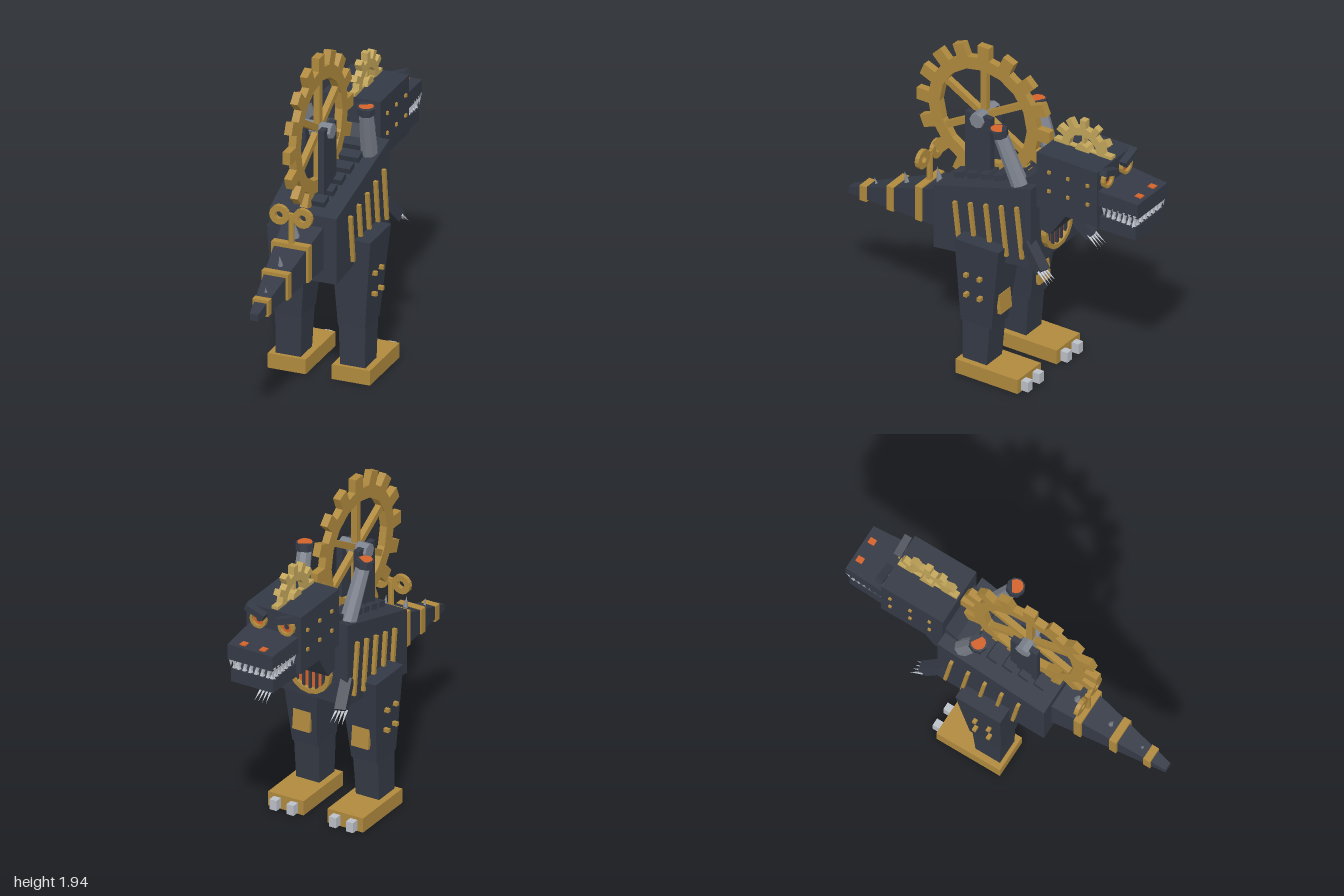
import * as THREE from 'three';
import { ConvexGeometry } from 'three/addons/geometries/ConvexGeometry.js';

const V = (x, y, z) => new THREE.Vector3(x, y, z);

function material(name, color) {
  const m = new THREE.MeshStandardMaterial({ color });
  m.name = name;
  return m;
}

export function createModel() {
  const iron = material('dark iron', 0x343a46);
  const brass = material('brass', 0xb08a3e);
  const paleBrass = material('pale brass', 0xc2a55a);
  const steel = material('steel', 0x7d838e);
  const claw = material('claw grey', 0xbcc0c8);
  const ember = material('ember orange', 0xd4622a);
  const model = new THREE.Group();
  model.name = 'clockworkBeast';

  function add(name, geo, mat, pos = [0, 0, 0], rot = [0, 0, 0]) {
    const mesh = new THREE.Mesh(geo, mat);
    mesh.name = name;
    mesh.position.set(...pos);
    mesh.rotation.set(...rot);
    model.add(mesh);
    return mesh;
  }
  const box = (name, mat, size, pos, rot) => add(name, new THREE.BoxGeometry(...size), mat, pos, rot);

  // Solid between rectangles [z, halfWidth, y0, y1]
  function taperZ(name, mat, ...ends) {
    const pts = ends.flatMap(([z, w, y0, y1]) => [V(-w, y0, z), V(w, y0, z), V(-w, y1, z), V(w, y1, z)]);
    return add(name, new ConvexGeometry(pts), mat);
  }
  // Solid between rectangles [y, x0, x1, z0, z1], mirrored by s
  function taperY(name, mat, s, ...ends) {
    const pts = ends.flatMap(([y, x0, x1, z0, z1]) =>
      [V(s * x0, y, z0), V(s * x1, y, z0), V(s * x0, y, z1), V(s * x1, y, z1)]);
    return add(name, new ConvexGeometry(pts), mat);
  }
  // Faceted rod or cone from p to q
  function rod(name, mat, p, q, r0, r1, sides) {
    const d = q.clone().sub(p);
    const geo = new THREE.CylinderGeometry(r1, r0, d.length(), sides).toNonIndexed();
    geo.computeVertexNormals();
    const mesh = add(name, geo, mat);
    mesh.position.copy(p).addScaledVector(d, 0.5);
    mesh.quaternion.setFromUnitVectors(V(0, 1, 0), d.normalize());
    return mesh;
  }
  // Flat ring, facing z
  function ringGeo(outer, inner, depth, sides) {
    const circle = (r) => Array.from({ length: sides }, (_, i) => {
      const a = (i / sides) * Math.PI * 2;
      return new THREE.Vector2(r * Math.cos(a), r * Math.sin(a));
    });
    const shape = new THREE.Shape(circle(outer));
    shape.holes.push(new THREE.Path(circle(inner)));
    return new THREE.ExtrudeGeometry(shape, { depth, bevelEnabled: false }).translate(0, 0, -depth / 2);
  }
  // Toothed wheel with spokes, turning about x
  function gear(name, mat, y, z, tip, root, inner, teeth, toothW, spokes, thick) {
    const pts = [];
    for (let i = 0; i < teeth; i++) {
      const a = (i / teeth) * Math.PI * 2, c = Math.cos(a), s = Math.sin(a), h = toothW / 2;
      for (const [r, t] of [[root, -h], [tip, -h], [tip, h], [root, h]])
        pts.push(new THREE.Vector2(r * c - t * s, r * s + t * c));
    }
    const shape = new THREE.Shape(pts);
    shape.holes.push(new THREE.Path(Array.from({ length: teeth }, (_, i) => {
      const a = (i / teeth) * Math.PI * 2;
      return new THREE.Vector2(inner * Math.cos(a), inner * Math.sin(a));
    })));
    const geo = new THREE.ExtrudeGeometry(shape, { depth: thick, bevelEnabled: false });
    geo.translate(0, 0, -thick / 2).rotateY(Math.PI / 2);
    add(name + 'Rim', geo, mat, [0, y, z]);
    const len = inner + 0.02;
    for (let i = 0; i < spokes; i++) {
      const a = (i / spokes) * Math.PI * 2;
      const spoke = new THREE.BoxGeometry(thick * 0.8, len, tip * 0.085).translate(0, len / 2, 0);
      add(name + 'Spoke', spoke, mat, [0, y, z], [a, 0, 0]);
    }
  }

  // Body and neck
  taperZ('body', iron, [0.32, 0.2, 0.68, 1.075], [-0.35, 0.23, 0.78, 1.285]);
  const neckSide = [[-0.26, 1.28], [-0.42, 0.98], [-0.57, 1.2], [-0.4, 1.39], [-0.28, 1.02]];
  add('neck', new ConvexGeometry(neckSide.flatMap(([z, y]) => [V(-0.15, y, z), V(0.15, y, z)])), iron);

  // Stepped plates along the back
  for (let i = 0; i < 6; i++) {
    const z = 0.22 - i * 0.095;
    box('backPlate', iron, [0.2 + i * 0.02, 0.05, 0.065], [0, 1.075 + (0.32 - z) * 0.313 + 0.01, z], [0.3, 0, 0]);
  }

  // Great wheel with axle and uprights
  gear('greatWheel', brass, 1.5, 0.11, 0.44, 0.36, 0.29, 16, 0.075, 6, 0.045);
  rod('axle', steel, V(-0.09, 1.5, 0.11), V(0.09, 1.5, 0.11), 0.045, 0.045, 8);

  // Head, jaws and crest wheel
  taperZ('head', iron, [-0.35, 0.175, 1.15, 1.5], [-0.75, 0.175, 1.15, 1.5]);
  taperZ('upperJaw', iron, [-0.74, 0.16, 1.28, 1.376], [-1, 0.145, 1.27, 1.362]);
  taperZ('lowerJaw', iron, [-0.74, 0.145, 1.125, 1.21], [-0.98, 0.135, 1.125, 1.205]);
  gear('crestWheel', paleBrass, 1.5, -0.55, 0.19, 0.14, 0.095, 12, 0.038, 4, 0.04);
  rod('crestHub', paleBrass, V(-0.03, 1.5, -0.55), V(0.03, 1.5, -0.55), 0.045, 0.045, 8);

  // Teeth: down from the upper jaw, up from the lower jaw
  const tooth = (x, z, up) => rod('tooth', claw, V(x, up ? 1.2 : 1.285, z), V(x, up ? 1.255 : 1.215, z), 0.017, 0, 5);
  for (let i = 0; i < 7; i++) {
    for (const s of [-1, 1]) {
      tooth(s * (0.142 - i * 0.001), -0.775 - i * 0.034, false);
      if (i < 6) tooth(s * 0.122, -0.79 - i * 0.034, true);
    }
    tooth(-0.114 + i * 0.038, -0.98, false);
    if (i < 6) tooth(-0.095 + i * 0.038, -0.962, true);
  }

  // Chest furnace
  const chestY = 0.95;
  add('furnaceGlow', new THREE.CircleGeometry(0.115, 16), ember, [0, chestY, -0.356], [0, Math.PI, 0]);
  add('furnaceRing', ringGeo(0.135, 0.108, 0.035, 16), brass, [0, chestY, -0.365]);
  for (let i = -2; i <= 2; i++)
    box('furnaceBar', iron, [0.014, 2 * Math.sqrt(0.0125 - (i * 0.042) ** 2), 0.015], [i * 0.042, chestY, -0.366]);

  // Tail with bands and spikes
  taperZ('tail', iron, [0.31, 0.123, 0.76, 1.013], [1, 0.025, 0.71, 0.75]);
  for (const [z, w, y0, y1] of [[0.48, 0.112, 0.75, 0.965], [0.69, 0.08, 0.727, 0.88], [0.89, 0.048, 0.705, 0.8]])
    box('tailBand', brass, [w * 2, y1 - y0, 0.045], [0, (y0 + y1) / 2, z]);
  for (const [z, y, r] of [[0.41, 0.96, 0.024], [0.625, 0.87, 0.02], [0.825, 0.79, 0.014]])
    rod('tailSpike', steel, V(0, y, z), V(0, y + r * 4.2, z + 0.02), r, 0, 6);

  // Winding key
  rod('keyPost', brass, V(0, 0.94, 0.48), V(0, 1.13, 0.48), 0.018, 0.018, 8);
  box('keyBridge', brass, [0.06, 0.035, 0.022], [0, 1.125, 0.48]);

  for (const s of [-1, 1]) {
    add('keyLoop', ringGeo(0.058, 0.022, 0.026, 14), brass, [s * 0.07, 1.125, 0.48]);
    box('wheelUpright', iron, [0.035, 0.45, 0.17], [s * 0.055, 1.305, 0.11]);

    // Chimney with glowing cap
    const base = V(s * 0.155, 1.19, -0.25), top = V(s * 0.19, 1.55, -0.115);
    rod('chimney', steel, base, top, 0.052, 0.042, 8);
    rod('chimneyCap', iron, V(s * 0.192, 1.535, -0.112), V(s * 0.195, 1.578, -0.107), 0.053, 0.053, 8);
    add('chimneyGlow', new THREE.CircleGeometry(0.042, 12), ember, [s * 0.195, 1.581, -0.107], [-Math.PI / 2, 0, 0]);

    // Eye, brow and nostril
    add('eyeRing', ringGeo(0.052, 0.036, 0.03, 12), brass, [s * 0.09, 1.425, -0.76]);
    add('eye', new THREE.CircleGeometry(0.04, 12), ember, [s * 0.09, 1.425, -0.757], [0, Math.PI, 0]);
    add('pupil', new THREE.CircleGeometry(0.016, 8), iron, [s * 0.09, 1.425, -0.761], [0, Math.PI, 0]);
    box('brow', iron, [0.125, 0.035, 0.045], [s * 0.098, 1.478, -0.778], [0, 0, s * 0.35]);
    box('nostril', ember, [0.036, 0.009, 0.04], [s * 0.063, 1.366, -0.957]);

    // Head rivets
    for (const z of [-0.435, -0.56, -0.69])
      for (const y of [1.28, 1.4]) box('headRivet', brass, [0.02, 0.018, 0.018], [s * 0.177, y, z]);

    // Side ribs
    for (let i = 0; i < 5; i++) {
      const z = 0.148 - i * 0.106, y = 0.89 + i * 0.024, h = 0.285 + i * 0.008;
      box('sideRib', brass, [0.03, h, 0.02], [s * (0.215 + i * 0.0045), y, z], [0.12, 0, 0]);
    }

    // Leg, foot and toes
    taperY('thigh', iron, s, [0.86, 0.07, 0.31, -0.185, 0.105], [0.33, 0.11, 0.272, -0.115, 0.09]);
    taperY('shin', iron, s, [0.34, 0.11, 0.27, -0.1, 0.08], [0.08, 0.118, 0.268, -0.08, 0.078]);
    box('foot', brass, [0.228, 0.088, 0.412], [s * 0.192, 0.044, -0.105]);
    for (const t of [-0.055, 0.055])
      box('toe', claw, [0.045, 0.062, 0.06], [s * 0.192 + t, 0.038, -0.327]);
    box('kneePlate', brass, [0.11, 0.12, 0.022], [s * 0.19, 0.487, -0.143], [0.1, 0, 0]);
    for (const z of [0.03, -0.06])
      for (const y of [0.525, 0.65]) box('thighRivet', brass, [0.032, 0.022, 0.022], [s * 0.305, y, z]);

    // Arm with four claws
    const shoulder = V(s * 0.205, 0.93, -0.31), wrist = V(s * 0.24, 0.795, -0.435);
    const arm = box('arm', iron, [0.065, 0.065, shoulder.distanceTo(wrist)], [0, 0, 0]);
    arm.position.copy(shoulder).lerp(wrist, 0.5);
    arm.lookAt(wrist);
    for (let i = 0; i < 4; i++) {
      const x = 0.213 + i * 0.019;
      rod('armClaw', claw, V(s * x, 0.805, -0.425), V(s * (x + 0.006 * (i - 1)), 0.742, -0.497), 0.01, 0, 5);
    }
  }
  return model;
}
